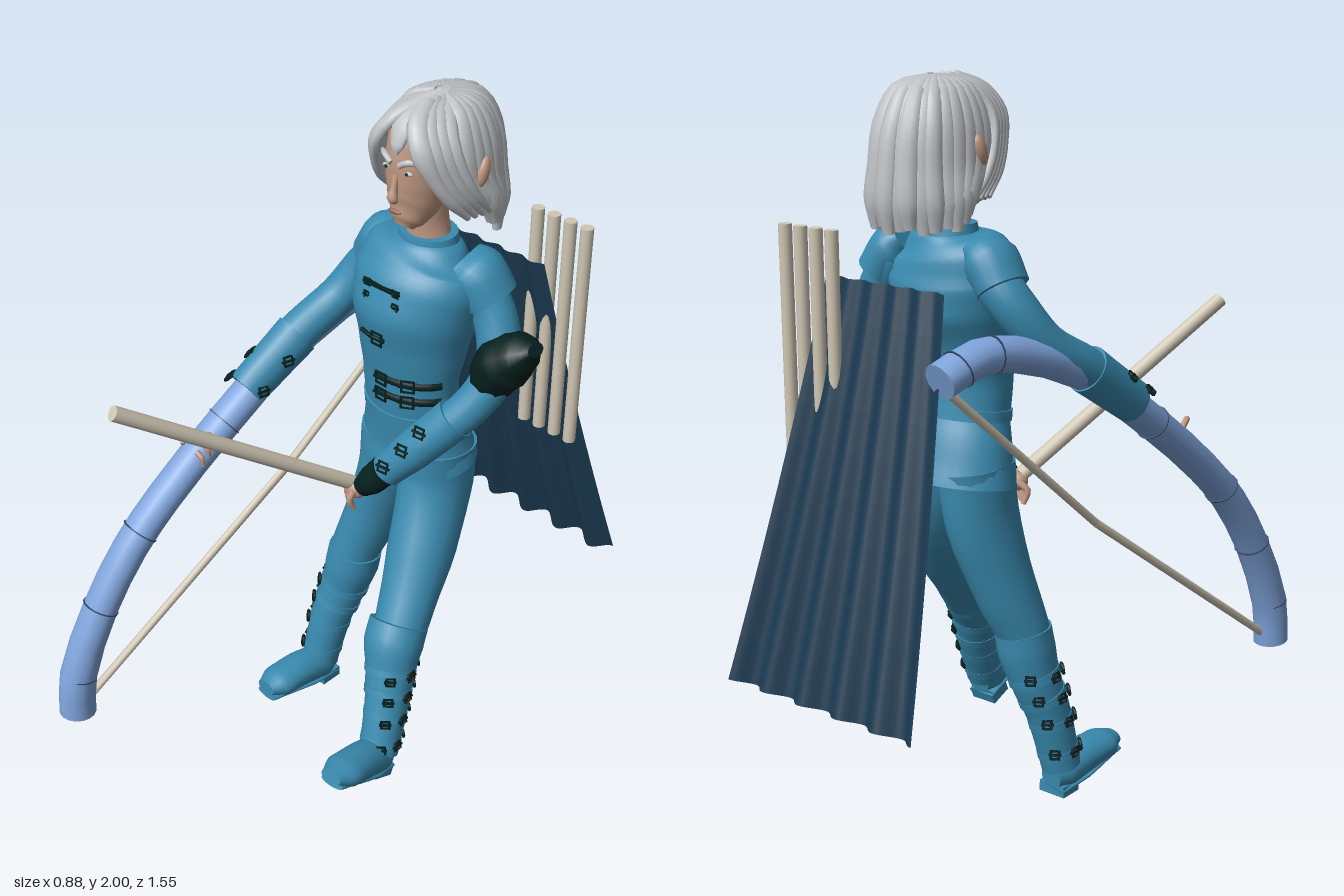
import * as THREE from 'three';

const mat = (name, color, side = THREE.FrontSide) => {
  const m = new THREE.MeshStandardMaterial({ color, side });
  m.name = name;
  return m;
};
const V = (x, y, z) => new THREE.Vector3(x, y, z);

// Elliptical sweep through points [x, y, z, a, b]; a lies along ref, b across it.
function sweep(pts, { n = 20, sub = 4, ref = V(1, 0, 0) } = {}) {
  const path = new THREE.CatmullRomCurve3(pts.map(p => V(p[0], p[1], p[2])));
  const R = (t) => {
    const f = t * (pts.length - 1), i = Math.min(Math.floor(f), pts.length - 2);
    let k = f - i;
    const p = pts[i], q = pts[i + 1];
    if (pts.length > 2) k = k * 0.5 + k * k * (3 - 2 * k) * 0.5;
    return [p[3] + (q[3] - p[3]) * k, (p[4] ?? p[3]) + ((q[4] ?? q[3]) - (p[4] ?? p[3])) * k];
  };
  const m = (pts.length - 1) * sub, pos = [], idx = [];
  for (let i = 0; i <= m; i++) {
    const c = path.getPoint(i / m), t = path.getTangent(i / m), [a, b] = R(i / m);
    const s = ref.clone().addScaledVector(t, -ref.dot(t)).normalize(), o = t.clone().cross(s);
    for (let j = 0; j < n; j++) {
      const w = j / n * Math.PI * 2;
      const p = c.clone().addScaledVector(s, Math.cos(w) * a).addScaledVector(o, Math.sin(w) * b);
      pos.push(p.x, p.y, p.z);
    }
  }
  for (let i = 0; i < m; i++) for (let j = 0; j < n; j++) {
    const a = i * n + j, b = i * n + (j + 1) % n;
    idx.push(a, b, a + n, b, b + n, a + n);
  }
  for (const end of [0, m]) { // flat end caps
    const base = pos.length / 3, c = path.getPoint(end / m);
    pos.push(...pos.slice(end * n * 3, (end + 1) * n * 3), c.x, c.y, c.z);
    for (let j = 0; j < n; j++) {
      const a = base + j, b = base + (j + 1) % n;
      end ? idx.push(a, b, base + n) : idx.push(b, a, base + n);
    }
  }
  const g = new THREE.BufferGeometry();
  g.setAttribute('position', new THREE.Float32BufferAttribute(pos, 3));
  g.setIndex(idx);
  g.computeVertexNormals();
  return g;
}

export function createModel() {
  const root = new THREE.Group();
  root.name = 'archer';
  const cloth = mat('teal cloth', 0x3a8bb0), dark = mat('dark leather', 0x05211f);
  const skin = mat('skin', 0xc09882), hair = mat('silver hair', 0xbfc2c6);
  const wood = mat('pale wood', 0xd0c7b4), bowBlue = mat('bow blue', 0x7ea3da);
  const navy = mat('navy cape', 0x1c3b52, THREE.DoubleSide), lip = mat('lip', 0x9c6a5c);
  const seam = mat('bow seam', 0x33476b);

  const add = (name, geo, m) => {
    const o = new THREE.Mesh(geo, m);
    o.name = name;
    root.add(o);
    return o;
  };
  const limb = (name, pts, m, opt) => add(name, sweep(pts, opt), m);
  const ball = (name, c, s, m) => {
    const o = add(name, new THREE.SphereGeometry(1, 16, 12), m);
    o.position.set(...c);
    o.scale.set(...s);
    return o;
  };
  const buckle = (p, d, size = 0.02) => {
    const o = add('buckle', new THREE.TorusGeometry(size, 0.005, 4, 4).rotateZ(Math.PI / 4), dark);
    o.position.copy(p);
    o.lookAt(p.clone().add(d));
    const pin = new THREE.Mesh(new THREE.BoxGeometry(size * 2.2, 0.006, 0.008), dark);
    pin.name = 'bucklePin';
    o.add(pin);
  };

  // Jacket, collar and peplum edge
  limb('jacket', [[.045, .92, -.237, .183, .143], [.045, 1, -.225, .165, .125], [.05, 1.1, -.2, .143, .11],
    [.05, 1.2, -.19, .148, .108], [.05, 1.3, -.197, .163, .132], [.05, 1.4, -.207, .182, .164],
    [.05, 1.48, -.222, .195, .152], [.05, 1.54, -.236, .18, .122], [.055, 1.58, -.243, .115, .085],
    [.055, 1.6, -.245, .075, .068]], cloth, { n: 32 });
  limb('collar', [[.055, 1.57, -.243, .095, .08], [.055, 1.615, -.242, .082, .072]], cloth, { n: 24 });
  limb('waistBand', [[.05, 1.09, -.202, .149, .117], [.05, 1.12, -.198, .149, .116]], cloth, { n: 32 });

  // Jacket fastenings
  for (const y of [1.505, 1.465]) {
    add('frogClosure', new THREE.BoxGeometry(.11, .007, .02), dark).position.set(.05, y, -.071);
    for (const x of [0, .1]) buckle(V(x, y, -.066), V(0, 0, 1), .012);
  }
  limb('chestStrap', [-.35, -.1, .15].map(a => [.05 + .175 * Math.sin(a), 1.36, -.2 + .153 * Math.cos(a), .006, .006]),
    dark, { n: 8, ref: V(0, 1, 0) });
  buckle(V(.055, 1.36, -.045), V(0, 0, 1), .024);
  for (const y of [1.222, 1.172]) {
    limb('beltStrap', [-.2, .1, .4, .7, 1, 1.25].map(a => [.05 + .152 * Math.sin(a), y, -.192 + .114 * Math.cos(a), .012, .006]),
      dark, { n: 8, ref: V(0, 1, 0) });
    for (const a of [0, .55]) buckle(V(.05 + .155 * Math.sin(a), y, -.19 + .12 * Math.cos(a)), V(Math.sin(a), 0, Math.cos(a)), .024);
  }

  // Arms with shoulder caps and cuffs
  limb('rightArm', [[-.09, 1.51, -.26, .06, .07], [-.165, 1.43, -.255, .06], [-.225, 1.32, -.19, .056],
    [-.262, 1.24, -.07, .058], [-.29, 1.13, .09, .055]], cloth);
  limb('leftArm', [[.19, 1.51, -.27, .06, .07], [.255, 1.43, -.28, .06], [.305, 1.3, -.25, .06],
    [.285, 1.2, -.19, .055], [.19, 1.07, -.09, .05], [.09, .945, -.04, .038]], cloth);
  limb('rightShoulderCap', [[-.06, 1.555, -.25, .04, .065], [-.1, 1.53, -.255, .07, .082], [-.145, 1.465, -.26, .066, .078]], cloth);
  limb('leftShoulderCap', [[.165, 1.555, -.26, .04, .065], [.205, 1.53, -.268, .07, .082], [.25, 1.465, -.28, .066, .078]], cloth);
  limb('rightCuff', [[-.262, 1.235, -.06, .063, .066], [-.275, 1.185, .01, .06, .063], [-.292, 1.115, .11, .056, .06]], cloth);
  limb('leftCuff', [[.25, 1.15, -.15, .06], [.17, 1.045, -.085, .057], [.1, .955, -.045, .048]], cloth);
  for (const [x, y, z] of [[-.325, 1.2, .06], [-.335, 1.15, .13]]) buckle(V(x, y, z), V(-.8, 1, .4));
  for (const [x, y, z] of [[-.215, 1.2, .02], [-.232, 1.13, .1]]) buckle(V(x, y, z), V(1, .3, .2), .018);
  for (const [x, y, z] of [[.2, 1.12, -.06], [.165, 1.06, -.03], [.125, 1.0, 0]]) buckle(V(x, y, z), V(.1, .3, 1));
  limb('elbowGuard', [[.275, 1.215, -.235, .03, .04], [.3, 1.26, -.24, .066, .08], [.335, 1.325, -.245, .08, .088],
    [.385, 1.37, -.245, .058, .068], [.43, 1.4, -.245, .018, .03]], dark, { n: 10 });

  // Hands; the right one is wrapped around the bow
  limb('glove', [[.095, .955, -.042, .044], [.06, .91, -.03, .042], [.03, .875, -.02, .03]], dark);
  ball('leftHand', [.01, .865, -.015], [.035, .03, .03], skin);
  for (let i = 0; i < 4; i++) {
    const x = -.035 + i * .018, z = -.035 + i * .014;
    limb('leftFinger', [[i * .008, .87, z, .01], [x, .845, z + .012, .01], [x + .005, .808, z, .007]], skin, { n: 8 });
  }
  for (let i = 0; i < 3; i++) {
    const z = .265 + i * .022, y = 1.0 - i * .02;
    limb('rightFinger', [[-.285, y + .045, z, .008], [-.265, y + .035, z, .008], [-.26, y + .01, z, .005]],
      skin, { n: 8, ref: V(0, 0, 1) });
  }
  limb('rightThumb', [[-.34, 1.01, .28, .009], [-.335, 1.03, .31, .009], [-.325, 1.02, .325, .006]], skin, { n: 8 });

  // Legs, boots, straps and feet
  limb('leftLeg', [[.125, .97, -.235, .095, .12], [.125, .85, -.225, .1, .118], [.16, .68, -.135, .097, .102],
    [.195, .54, -.035, .083, .08], [.225, .42, .05, .07, .07]], cloth);
  limb('rightLeg', [[-.03, .97, -.235, .095, .12], [-.045, .82, -.228, .088, .115], [-.09, .62, -.188, .08, .092],
    [-.125, .49, -.152, .074, .075], [-.14, .4, -.14, .065, .068]], cloth);
  const boots = [
    ['left', 1, [[.207, .5, .01, .086, .084], [.217, .45, .042, .086, .086], [.235, .37, .075, .071, .07],
      [.255, .28, .11, .063, .064], [.278, .15, .165, .056, .057]],
    [[.27, .135, .125, .034, .04], [.277, .145, .17, .054, .058], [.287, .176, .25, .057, .052], [.298, .204, .33, .06, .042], [.302, .222, .385, .034, .022]],
    [[.27, .095, .14], [.283, .13, .23], [.302, .196, .38]]],
    ['right', -1, [[-.122, .5, -.152, .08, .08], [-.13, .44, -.145, .08, .082], [-.15, .35, -.13, .069, .072],
      [-.17, .25, -.1, .062, .064], [-.19, .08, -.065, .056, .057]],
    [[-.188, .055, -.108, .034, .038], [-.19, .06, -.06, .054, .053], [-.195, .075, .02, .057, .05], [-.198, .08, .11, .059, .04], [-.2, .083, .162, .034, .022]],
    [[-.188, .018, -.105], [-.193, .035, 0], [-.2, .056, .16]]]];
  for (const [side, s, shaft, foot, sole] of boots) {
    limb(side + 'Boot', shaft, cloth);
    limb(side + 'Foot', foot, cloth);
    limb(side + 'Sole', sole.map(([x, y, z], i) => [x, y, z, [.045, .055, .038][i], .012]), cloth);
    const h = add(side + 'Heel', new THREE.BoxGeometry(.085, .032, .07), cloth);
    h.position.set(sole[0][0], sole[0][1] - .002, sole[0][2] + .035);
    if (s > 0) h.rotation.x = -.4;
    const c = new THREE.CatmullRomCurve3(shaft.map(p => V(p[0], p[1], p[2])));
    for (const [t, r] of [[.46, .075], [.63, .07], [.79, .064], [.93, .06]]) {
      const p = c.getPoint(t), d = c.getTangent(t).multiplyScalar(.011), e = p.clone().add(d);
      p.sub(d);
      limb(side + 'BootStrap', [[p.x, p.y, p.z, r, r], [e.x, e.y, e.z, r, r]], cloth, { sub: 1 });
      for (const w of [.75, 1.6, 2.6]) {
        const o = V(s * Math.sin(w), .15, Math.cos(w));
        buckle(c.getPoint(t).addScaledVector(o, r + .004), o, .016);
      }
    }
  }

  // Neck, head and face
  limb('neck', [[.055, 1.57, -.245, .068, .06], [.052, 1.65, -.24, .055, .057], [.05, 1.73, -.23, .055, .057]], skin);
  limb('head', [[.05, 1.655, -.15, .026, .026], [.05, 1.675, -.162, .048, .048], [.05, 1.72, -.188, .07, .078],
    [.05, 1.78, -.205, .083, .094], [.05, 1.83, -.212, .089, .1], [.05, 1.89, -.22, .085, .098], [.05, 1.94, -.23, .055, .065]], skin, { n: 28 });
  limb('nose', [[.05, 1.815, -.117, .008, .007], [.05, 1.775, -.11, .01, .011], [.05, 1.75, -.104, .016, .013], [.05, 1.738, -.112, .01, .008]], skin, { n: 10 });
  ball('lips', [.05, 1.71, -.113], [.022, .007, .006], lip);
  for (const s of [-1, 1]) {
    ball('eye', [.05 + s * .036, 1.825, -.122], [.015, .006, .006], hair);
    ball('iris', [.05 + s * .035, 1.825, -.1165], [.005, .005, .003], dark);
    limb('eyebrow', [[.05 + s * .014, 1.843, -.112, .008], [.05 + s * .04, 1.857, -.118, .009], [.05 + s * .07, 1.85, -.142, .006]],
      hair, { n: 8, ref: V(0, 1, 0) });
    const ear = ball('ear', [.05 + s * .142, 1.81, -.285], [.018, .042, .02], skin);
    ear.rotation.x = -.3;
  }

  // Hair: skull cap, a bob that rises toward the front, and a parted fringe
  ball('hairCap', [.05, 1.84, -.3], [.125, .15, .155], hair);
  for (let i = 0; i < 19; i++) {
    const th = THREE.MathUtils.degToRad(76 + i * 208 / 18), sx = Math.sin(th), cz = Math.cos(th);
    const bump = i % 2 ? .007 : -.004, rise = Math.max(0, cz + .45);
    const at = (kx, kz, y, back, a, b) => [.05 + sx * .132 * kx, y + rise * back * .5, -.285 + cz * (.178 + bump) * kz - rise * back, a, b];
    limb('hairLock', [at(.12, .12, 1.98, 0, .012, .014), at(.62, .62, 1.955, 0, .024, .02), at(.9, .9, 1.87, 0, .03, .022),
      at(.98, 1, 1.77, .03, .032, .022), at(1.09, 1.04, 1.69, .1, .031, .022), at(1.1, 1, 1.612 + (i % 3) * .007, .13, .017, .012)],
    hair, { n: 10, sub: 3, ref: V(cz, 0, -sx) });
  }
  for (const s of [-1, 1]) for (let i = 0; i < 4; i++) {
    const k = i * .024;
    limb('fringeLock', [[.05 + s * .008, 1.983 - i * .002, -.22 - k, .024, .014], [.05 + s * (.04 + k * .4), 1.95, -.15 - k, .028, .017],
      [.05 + s * (.078 + k * .4), 1.89, -.125 - k, .029, .017], [.05 + s * (.105 + k * .4), 1.81, -.152 - k, .02, .015],
      [.05 + s * (.122 + k * .3), 1.75, -.19 - k, .017, .014], [.05 + s * (.135 + k * .2), 1.69, -.245 - k, .009, .008]],
    hair, { n: 10, ref: V(.75, 0, -s * .65) });
  }
  limb('centreFringe', [[.05, 1.98, -.21, .03, .013], [.052, 1.945, -.145, .038, .015], [.054, 1.895, -.115, .022, .012],
    [.055, 1.872, -.11, .006, .006]], hair, { n: 10 });

  // Bow with seams, string and nocked arrow
  const bowX = z => -.39 + (.725 - z) * .163;
  const bowPts = [[.25, .725], [.38, .71], [.585, .62], [.75, .51], [.87, .395], [1.04, .19], [1.23, -.08], [1.315, -.31], [1.325, -.43], [1.285, -.55]];
  limb('bow', bowPts.map(([y, z], i) => [bowX(z), y, z, .052, i < 2 ? .054 : .047]), bowBlue, { n: 16, sub: 2 });
  const bowCurve = new THREE.CatmullRomCurve3(bowPts.map(([y, z]) => V(bowX(z), y, z)));
  for (const i of [1, 2, 3.3, 5, 7.6, 8.5]) {
    const p = bowCurve.getPoint(i / 9), d = bowCurve.getTangent(i / 9).multiplyScalar(.003), e = p.clone().add(d);
    limb('bowSeam', [[p.x, p.y, p.z, .0545, .051], [e.x, e.y, e.z, .0545, .051]], seam, { n: 16, sub: 1 });
  }
  const nock = [bowX(-.02), .8, -.02, .012];
  limb('lowerString', [[bowX(.68), .285, .68, .012], nock], wood, { n: 8, sub: 1 });
  limb('upperString', [nock, [bowX(-.52), 1.25, -.52, .012]], wood, { n: 8, sub: 1 });
  limb('arrow', [[-.24, 1.305, .615, .021], [0, .88, -.01, .021]], wood, { n: 14, sub: 1 });

  // Spare arrows
  for (let i = 0; i < 4; i++)
    add('spareArrow', new THREE.CylinderGeometry(.018, .018, .68, 14), wood).position.set(.187 + i * .055, 1.275, -.533);

  // Pleated cape
  const cape = new THREE.PlaneGeometry(1, 1, 60, 10), cp = cape.attributes.position;
  for (let i = 0; i < cp.count; i++) {
    const u = cp.getX(i), v = .5 - cp.getY(i);
    const wave = Math.cos((u + .5) * 10 * Math.PI) * (.007 + .013 * v);
    cp.setXYZ(i, .055 + u * (.4 + .25 * v), 1.485 - 1.065 * v + wave * .3 * v, -.48 - .235 * v - .04 * v * v - wave);
  }
  cape.computeVertexNormals();
  add('cape', cape, navy);
  return root;
}
